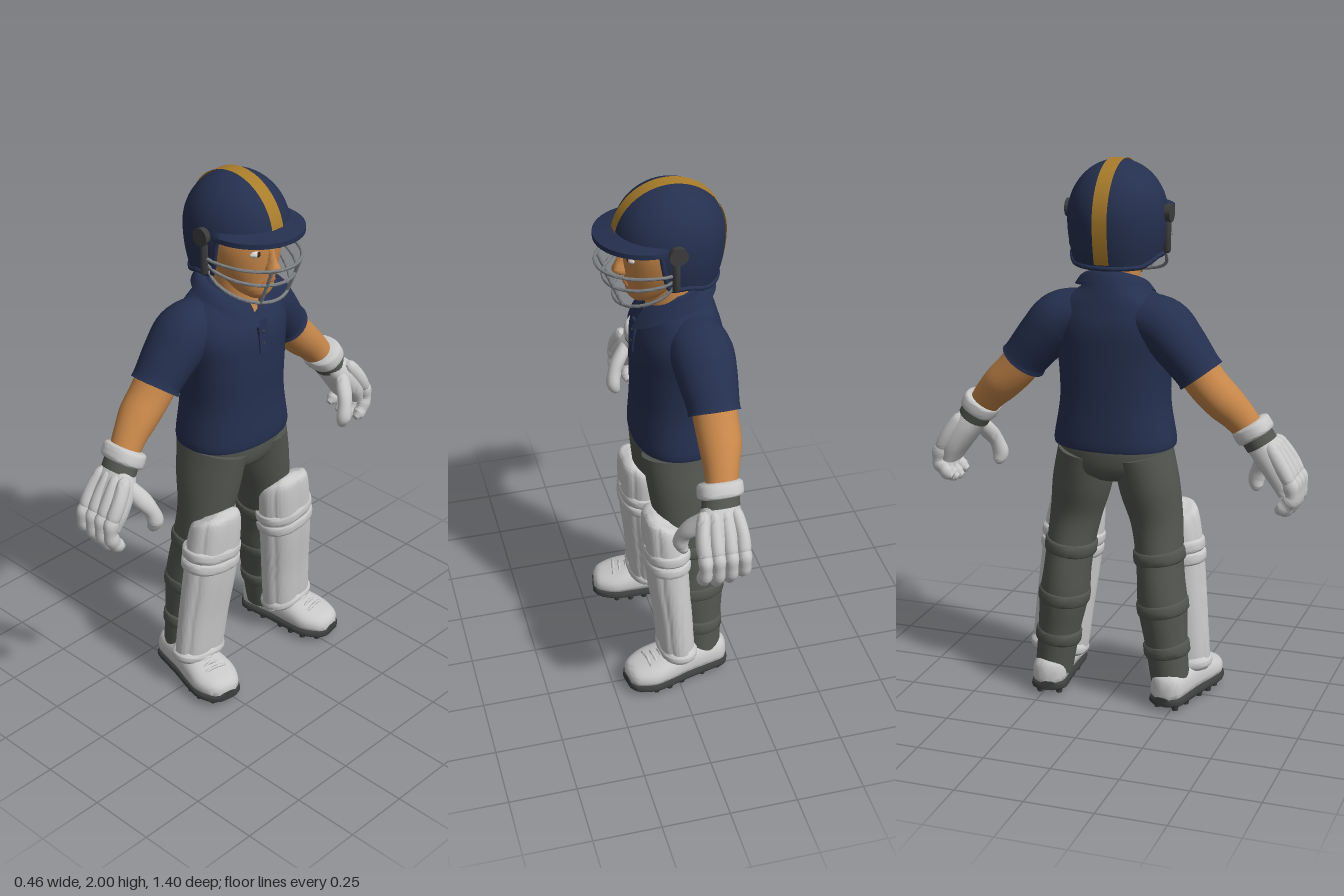
import * as THREE from 'three';
import { toCreasedNormals } from 'three/addons/utils/BufferGeometryUtils.js';

const mat = (name, color, side = THREE.FrontSide) => {
  const m = new THREE.MeshStandardMaterial({ color, side });
  m.name = name;
  return m;
};
const V = (x, y, z) => new THREE.Vector3(x, y, z);
const TAU = Math.PI * 2;
const spow = (v, p) => Math.sign(v) * Math.abs(v) ** p;

// grid surface from a rule (u, v) -> Vector3
function surface(nu, nv, fn) {
  const pos = [], idx = [];
  for (let j = 0; j <= nv; j++) for (let i = 0; i <= nu; i++) pos.push(...fn(i / nu, j / nv).toArray());
  for (let j = 0; j < nv; j++) for (let i = 0; i < nu; i++) {
    const a = j * (nu + 1) + i, b = a + nu + 1;
    idx.push(a, b, a + 1, a + 1, b, b + 1);
  }
  const g = new THREE.BufferGeometry();
  g.setAttribute('position', new THREE.Float32BufferAttribute(pos, 3));
  g.setIndex(idx);
  return g;
}

// smooth closed body through sections [x, y, z, radius across, radius in depth]
function loft(secs, { sides = 28, steps = 5, power = 2, ribs = () => 1 } = {}) {
  const path = new THREE.CatmullRomCurve3(secs.map(s => V(s[0], s[1], s[2])));
  const size = new THREE.CatmullRomCurve3(secs.map(s => V(s[3], s[4], 0)));
  path.curveType = size.curveType = 'catmullrom';
  const n = (secs.length - 1) * steps;
  return surface(sides, n + 2, (u, v) => {
    const row = Math.round(v * (n + 2)) - 1;
    const t = Math.min(Math.max(row / n, 0), 1);
    const k = row < 0 || row > n ? 0 : ribs(u * TAU);
    const c = path.getPoint(t), r = size.getPoint(t), d = path.getTangent(t).setZ(0).normalize();
    const a = spow(Math.cos(u * TAU), 2 / power) * r.x * k, b = spow(Math.sin(u * TAU), 2 / power) * r.y * k;
    return V(c.x + d.y * a, c.y - d.x * a, c.z + b);
  });
}

const ball = (x, y, z, a, b, c) => new THREE.SphereGeometry(1, 24, 16).scale(a, b, c).translate(x, y, z);
const tube = (pts, r, n = 32) => new THREE.TubeGeometry(new THREE.CatmullRomCurve3(pts), n, r, 8);

// shoe layer from [z, half width, top], toe first
function shoeLayer(secs, y0, grow, flatTop) {
  const c = new THREE.CatmullRomCurve3(secs.map(s => V(s[1] + grow, flatTop ?? s[2], s[0] + Math.sign(s[0]) * grow)));
  c.curveType = 'catmullrom';
  return surface(28, 26, (u, v) => {
    const row = Math.round(v * 26) - 1, p = c.getPoint(Math.min(Math.max(row / 24, 0), 1));
    const k = row < 0 || row > 24 ? 0 : 1, s = Math.sin(u * TAU), h = p.y - y0;
    const y = s > 0 ? s ** 0.8 * h * 0.7 : spow(s, 0.4) * h * 0.3;
    return V(spow(Math.cos(u * TAU), 0.8) * p.x * k, y0 + h * 0.3 + y * k, p.z);
  });
}

// helmet shell: a is the angle down from the crown, az the heading from the front
const shellPoint = (a, az, k = 1) => {
  const low = a > Math.PI / 2, d = low ? (a - Math.PI / 2) * 0.2 : 0;
  const r = (low ? 1 - 5 * d * d : Math.sin(a)) * k;
  return V(Math.sin(az) * 0.176 * r, low ? 1.8 - d : 1.8 + 0.197 * k * Math.cos(a), -0.035 + Math.cos(az) * 0.195 * r);
};
const shellEnd = az => {
  const s = THREE.MathUtils.smoothstep(Math.cos(az), 0.2, 0.4);
  const drop = 0.13 + 0.03 * THREE.MathUtils.smoothstep(-Math.cos(az), 0.1, 0.7);
  return THREE.MathUtils.lerp(Math.PI / 2 + drop / 0.2, Math.acos(0.12), s);
};

export function createModel() {
  const navy = mat('navy cloth', 0x25304f, THREE.DoubleSide), gold = mat('gold stripe', 0xa87c2a, THREE.DoubleSide);
  const skin = mat('skin', 0xc68649), white = mat('white leather', 0xc9c9c9), grey = mat('grey trousers', 0x535650);
  const dark = mat('dark rubber', 0x3c3e3d), metal = mat('grille metal', 0x7c7f82);
  const eyeWhite = mat('eye white', 0xdedbd4), hair = mat('brow brown', 0x3a2416), lip = mat('lip', 0xa5623a);

  const model = new THREE.Group(), body = new THREE.Group();
  body.name = 'batter';
  model.add(body);
  body.rotation.y = Math.PI / 2; // the figure looks along +x

  const add = (name, material, geo, flip = false) => {
    const src = (geo.index ? geo.toNonIndexed() : geo).attributes.position, pos = [];
    for (let i = 0; i < src.count; i++) {
      const j = flip ? i - (i % 3) + [0, 2, 1][i % 3] : i;
      pos.push(src.getX(j) * (flip ? -1 : 1), src.getY(j), src.getZ(j));
    }
    const g = new THREE.BufferGeometry();
    g.setAttribute('position', new THREE.Float32BufferAttribute(pos, 3));
    const mesh = new THREE.Mesh(toCreasedNormals(g, 0.95), material);
    mesh.name = name;
    body.add(mesh);
  };
  const pair = (name, material, geo) => {
    add(name + 'Left', material, geo);
    add(name + 'Right', material, geo, true);
  };

  // shirt
  add('shirt', navy, loft([[0, 0.98, -0.06, 0.222, 0.165], [0, 1.01, -0.06, 0.222, 0.167], [0, 1.15, -0.06, 0.2, 0.16],
    [0, 1.3, -0.06, 0.207, 0.16], [0, 1.42, -0.065, 0.222, 0.155], [0, 1.5, -0.075, 0.195, 0.125],
    [0, 1.55, -0.08, 0.12, 0.105], [0, 1.59, -0.085, 0.085, 0.085]], { sides: 44, power: 2.3 }));
  pair('sleeve', navy, loft([[0.1, 1.46, -0.09, 0.085, 0.1], [0.19, 1.43, -0.1, 0.1, 0.112],
    [0.25, 1.37, -0.105, 0.095, 0.107], [0.32, 1.285, -0.11, 0.085, 0.092], [0.335, 1.265, -0.11, 0.088, 0.094]]));
  add('collar', navy, surface(48, 6, (u, v) => {
    const az = 0.2 + u * (TAU - 0.4), c = Math.cos(az), f = Math.max(c, 0);
    return V(Math.sin(az) * (0.092 + 0.05 * v), 1.59 - 0.04 * c + 0.012 * Math.sin(v * Math.PI) - v * (0.04 + 0.055 * f * f),
      -0.07 + c * (0.1 + (c > 0 ? 0.08 : 0.03) * v));
  }));
  add('placket', navy, new THREE.BoxGeometry(0.042, 0.12, 0.009).rotateX(-0.1).translate(0, 1.41, 0.093));
  for (const y of [1.385, 1.43]) add('button', dark, ball(0, y, 0.115 - (y - 1.2) * 0.08, 0.006, 0.006, 0.004));

  // neck, head and face
  add('neck', skin, loft([[0, 1.48, -0.025, 0.075, 0.083], [0, 1.54, -0.035, 0.08, 0.08], [0, 1.68, -0.03, 0.08, 0.08]]));
  add('head', skin, loft([[0, 1.562, 0.06, 0.03, 0.035], [0, 1.59, 0.045, 0.066, 0.07], [0, 1.64, 0.02, 0.096, 0.1],
    [0, 1.7, 0.005, 0.12, 0.123], [0, 1.78, 0, 0.13, 0.13], [0, 1.87, -0.01, 0.11, 0.12]], { sides: 36 }));
  add('nose', skin, loft([[0, 1.67, 0.13, 0.022, 0.02], [0, 1.685, 0.137, 0.026, 0.03], [0, 1.72, 0.128, 0.015, 0.024],
    [0, 1.77, 0.118, 0.011, 0.016]], { sides: 16 }));
  add('mouth', lip, ball(0, 1.632, 0.12, 0.036, 0.007, 0.007));
  pair('eye', eyeWhite, ball(0.054, 1.75, 0.107, 0.025, 0.015, 0.017));
  pair('iris', hair, ball(0.053, 1.75, 0.121, 0.009, 0.01, 0.005));
  pair('brow', hair, ball(0.055, 1.782, 0.113, 0.03, 0.006, 0.011));

  // helmet
  add('helmetShell', navy, surface(120, 26, (u, v) => shellPoint(v * shellEnd(u * TAU), u * TAU)));
  const rim = Array.from({ length: 90 }, (_, i) => shellPoint(shellEnd(i / 90 * TAU), i / 90 * TAU));
  add('helmetRim', navy, new THREE.TubeGeometry(new THREE.CatmullRomCurve3(rim, true), 180, 0.009, 8, true));
  add('helmetPeak', navy, surface(40, 4, (u, v) => {
    const az = (u - 0.5) * 2.7, out = v > 0.2 && v < 0.7, reach = 1 - ((u - 0.5) * 2) ** 2;
    const p = shellPoint(1.45, az, out ? 1 + 0.36 * reach : 0.97);
    return p.setY((out ? 1.817 : 1.832) + (v > 0.4 && v < 0.9 ? -0.009 : 0.009));
  }));
  add('helmetStripe', gold, surface(3, 60, (u, v) => {
    const a = THREE.MathUtils.lerp(-1.44, shellEnd(Math.PI) - 0.06, v);
    const p = shellPoint(Math.abs(a), a < 0 ? 0 : Math.PI, 1.016);
    return p.setX((u - 0.5) * 0.054);
  }));
  pair('earBolt', dark, new THREE.CylinderGeometry(0.03, 0.033, 0.024, 24).rotateZ(Math.PI / 2).translate(0.183, 1.815, -0.02));
  pair('grilleMount', dark, new THREE.CapsuleGeometry(0.014, 0.12, 6, 12).translate(0.176, 1.745, -0.015));

  // face grille
  const bars = [[1.735, 1.718, 0.175, 0.222], [1.71, 1.655, 0.17, 0.195], [1.685, 1.575, 0.165, 0.16]];
  const barPoint = ([y0, y1, w, zf], az) => V(Math.sin(az) * w, y0 + (y1 - y0) * Math.cos(az) ** 0.7, -0.01 + Math.cos(az) * (zf + 0.01));
  bars.forEach(b => add('grilleBar', metal, tube(Array.from({ length: 21 }, (_, i) =>
    barPoint(b, Math.max(-1.57, Math.min(1.57, (i / 20 - 0.5) * Math.PI)))), 0.006, 60)));
  pair('grilleUpright', metal, tube(bars.map(b => barPoint(b, 0.42)), 0.006));

  // arms
  pair('arm', skin, loft([[0.3, 1.31, -0.11, 0.075, 0.08], [0.36, 1.235, -0.112, 0.072, 0.078], [0.42, 1.175, -0.11, 0.069, 0.074],
    [0.47, 1.125, -0.1, 0.06, 0.062], [0.53, 1.05, -0.085, 0.05, 0.052]]));

  // gloves
  pair('gloveCuff', white, loft([[0.503, 1.1, -0.082, 0.06, 0.07], [0.508, 1.092, -0.082, 0.068, 0.079],
    [0.527, 1.062, -0.08, 0.068, 0.08], [0.532, 1.054, -0.08, 0.06, 0.07]], { power: 2.4 }));
  pair('gloveWrist', grey, loft([[0.525, 1.065, -0.08, 0.058, 0.066], [0.55, 1.025, -0.075, 0.058, 0.068]]));
  pair('gloveHand', white, loft([[0.54, 1.035, -0.075, 0.05, 0.062], [0.575, 0.99, -0.065, 0.052, 0.082],
    [0.62, 0.92, -0.06, 0.045, 0.09], [0.645, 0.86, -0.06, 0.03, 0.08]], { power: 2.5 }));
  for (let i = 0; i < 4; i++) {
    const z = -0.128 + i * 0.046, lift = [0.025, 0.006, 0, 0.012][i];
    pair('backPad', white, loft([[0.578, 1.04, z * 0.8 - 0.012, 0.012, 0.012], [0.592, 1.02, z * 0.85 - 0.01, 0.026, 0.023],
      [0.63, 0.965, z, 0.028, 0.025], [0.66, 0.915, z, 0.025, 0.025], [0.668, 0.9, z, 0.012, 0.014]], { sides: 14 }));
    pair('finger', white, loft([[0.652, 0.925, z, 0.02, 0.02], [0.668, 0.895, z, 0.03, 0.026], [0.674, 0.862, z, 0.024, 0.022],
      [0.668, 0.83 + lift / 2, z, 0.029, 0.025], [0.655, 0.802 + lift, z, 0.025, 0.022],
      [0.638, 0.785 + lift, z, 0.026, 0.023], [0.618, 0.775 + lift, z, 0.012, 0.012]], { sides: 14 }));
  }
  pair('thumb', white, loft([[0.565, 1.0, -0.02, 0.028, 0.028], [0.535, 0.945, 0.02, 0.034, 0.032], [0.512, 0.9, 0.045, 0.028, 0.027],
    [0.5, 0.855, 0.053, 0.031, 0.027], [0.505, 0.825, 0.045, 0.022, 0.02], [0.51, 0.813, 0.042, 0.008, 0.008]], { sides: 16 }));

  // trousers
  add('trouserSeat', grey, loft([[0, 1.04, -0.06, 0.19, 0.145], [0, 0.96, -0.062, 0.205, 0.15], [0, 0.89, -0.062, 0.17, 0.135],
    [0, 0.85, -0.062, 0.08, 0.08]], { power: 2.2 }));
  const leg = [[0.105, 0.95, -0.06, 0.105, 0.15], [0.13, 0.82, -0.055, 0.108, 0.13], [0.155, 0.7, -0.05, 0.096, 0.108],
    [0.172, 0.58, -0.065, 0.088, 0.105], [0.182, 0.48, -0.08, 0.086, 0.108], [0.192, 0.38, -0.088, 0.09, 0.108],
    [0.21, 0.24, -0.1, 0.078, 0.085], [0.23, 0.08, -0.105, 0.07, 0.075]];
  pair('trouserLeg', grey, loft(leg));
  for (const [x, y, z, rx, rz] of [[0.172, 0.57, -0.067, 0.096, 0.11], [0.192, 0.38, -0.088, 0.095, 0.112], [0.212, 0.22, -0.1, 0.086, 0.088]])
    pair('legStrap', grey, loft([[x - 0.003, y + 0.025, z, rx - 0.006, rz - 0.006], [x - 0.002, y + 0.017, z, rx, rz],
      [x + 0.002, y - 0.017, z, rx, rz], [x + 0.003, y - 0.025, z, rx - 0.006, rz - 0.006]], { steps: 2 }));

  // leg pads with upright flutes
  const flutes = t => Math.sin(t) > -0.3 ? 0.93 + 0.08 * Math.abs(Math.sin(3 * t + Math.PI / 2)) ** 0.6 : 0.94;
  const pad = loft([[0.243, 0.115, -0.005, 0.085, 0.055], [0.242, 0.13, -0.005, 0.106, 0.068], [0.225, 0.3, 0.005, 0.111, 0.073],
    [0.205, 0.48, 0.02, 0.114, 0.08], [0.19, 0.62, 0.026, 0.112, 0.082], [0.182, 0.71, 0.028, 0.104, 0.08],
    [0.18, 0.738, 0.028, 0.085, 0.07], [0.18, 0.75, 0.03, 0.045, 0.04]], { sides: 72, ribs: flutes, power: 2.3 });
  const pp = pad.attributes.position;
  for (let i = 0; i < pp.count; i++) { // top edge falls toward the back
    const k = THREE.MathUtils.smoothstep(pp.getY(i), 0.6, 0.75);
    pp.setY(i, pp.getY(i) - k * Math.max(0, 0.07 - pp.getZ(i)) * 0.5);
  }
  pair('legPad', white, pad);
  for (const y of [0.535, 0.58]) {
    const x = 0.192 + (0.6 - y) * 0.13, r = (dy, k) => [x - dy * 0.12, y + dy, 0.023, 0.12 * k, 0.086 * k];
    pair('kneeRoll', white, loft([r(-0.022, 0.95), r(-0.013, 1), r(0.013, 1), r(0.022, 0.95)], { sides: 40, steps: 3, power: 2.3 }));
  }
  pair('padFoot', white, loft([[0.246, 0.112, -0.005, 0.1, 0.064], [0.245, 0.125, -0.005, 0.112, 0.074],
    [0.243, 0.145, -0.004, 0.112, 0.074], [0.242, 0.16, -0.004, 0.1, 0.064]], { steps: 3, power: 2.3 }));

  // shoes, soles, laces and studs
  const place = g => g.rotateY(0.17).translate(0.257, 0, 0);
  const shoe = [[0.2, 0.035, 0.08], [0.18, 0.065, 0.1], [0.12, 0.09, 0.118], [0.05, 0.086, 0.138], [-0.03, 0.074, 0.15],
    [-0.1, 0.068, 0.145], [-0.17, 0.06, 0.14], [-0.197, 0.03, 0.12]];
  pair('shoe', white, place(shoeLayer(shoe, 0.045, 0)));
  pair('sole', dark, place(shoeLayer(shoe, 0.022, 0.004, 0.056)));
  for (const z of [0.07, 0.095, 0.12])
    pair('lace', white, place(tube([V(-0.045, 0.113, z), V(0, 0.151 - z * 0.24, z), V(0.045, 0.113, z)], 0.006, 12)));
  for (const [z, w] of [[0.16, 0.04], [0.11, 0.065], [0.055, 0.065], [0, 0.055], [-0.09, 0.045], [-0.16, 0.036]])
    for (const s of [-1, 1])
      pair('stud', dark, place(new THREE.CylinderGeometry(0.016, 0.011, 0.032, 10).translate(s * w, 0.016, z)));

  return model;
}
